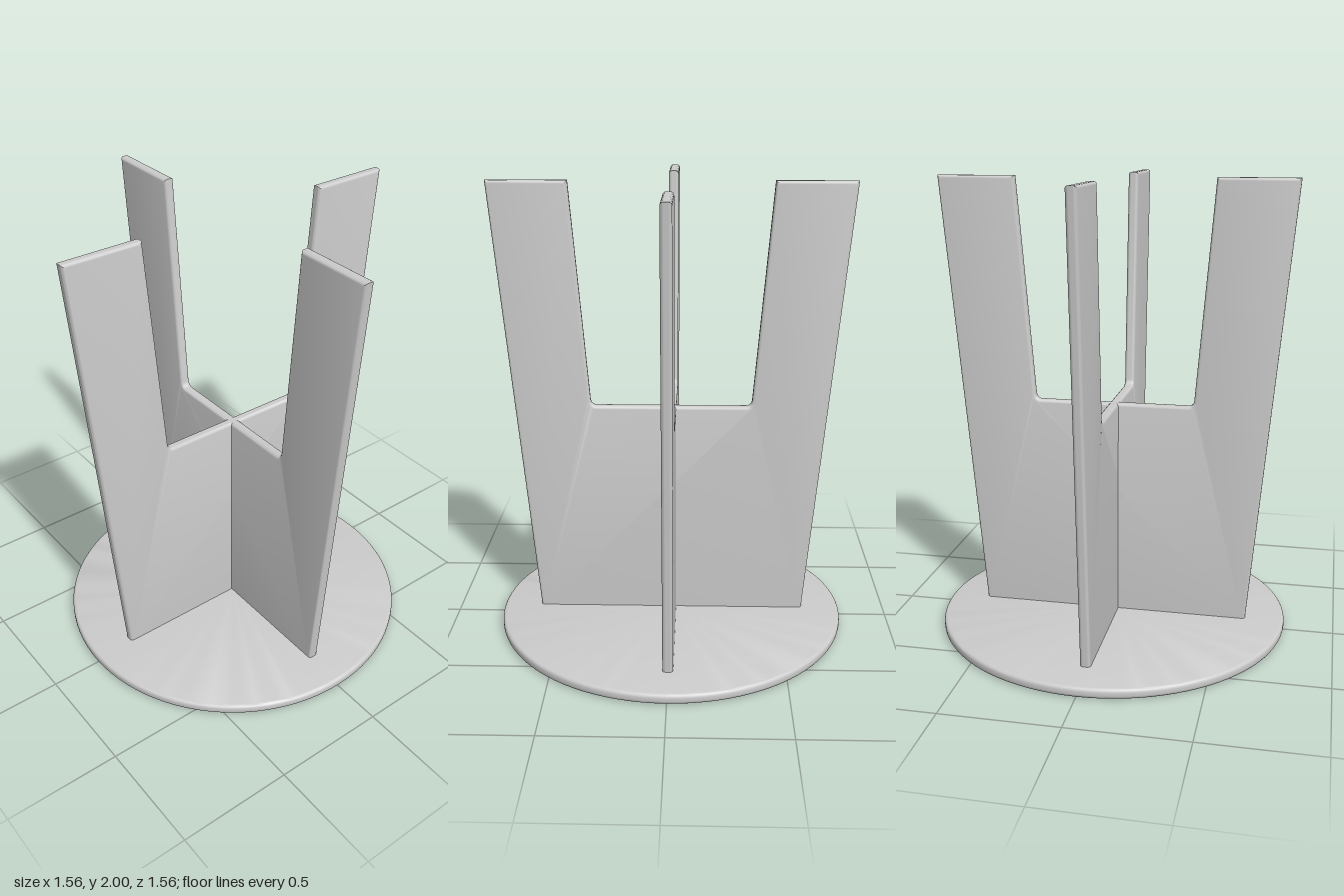
import * as THREE from 'three';
import { toCreasedNormals } from 'three/addons/utils/BufferGeometryUtils.js';

const material = new THREE.MeshStandardMaterial({ color: 0xcccccc });

function addMesh(parent, geometry, name) {
  const mesh = new THREE.Mesh(toCreasedNormals(geometry, 0.6), material);
  mesh.name = name;
  parent.add(mesh);
  return mesh;
}

// Round plate with a softened rim
function plateGeometry(radius, height) {
  const r = height * 0.35;
  const profile = [new THREE.Vector2(0, 0)];
  for (const [cy, start] of [[r, -Math.PI / 2], [height - r, 0]]) {
    for (let i = 0; i <= 4; i++) {
      const a = start + (i / 4) * (Math.PI / 2);
      profile.push(new THREE.Vector2(radius - r + r * Math.cos(a), cy + r * Math.sin(a)));
    }
  }
  profile.push(new THREE.Vector2(0, height));
  return new THREE.LatheGeometry(profile, 96);
}

// Tapered upright with a wide notch, leaving two prongs
function panelGeometry(thickness, bevel) {
  const s = new THREE.Shape();
  s.moveTo(-0.605, 0.03);
  s.lineTo(0.605, 0.03);
  s.lineTo(0.78, 2);
  s.lineTo(0.435, 2);
  s.lineTo(0.357, 1.045);
  s.quadraticCurveTo(0.353, 1.02, 0.33, 1.02);
  s.lineTo(-0.33, 1.02);
  s.quadraticCurveTo(-0.353, 1.02, -0.357, 1.045);
  s.lineTo(-0.435, 2);
  s.lineTo(-0.78, 2);
  s.closePath();
  const depth = thickness - 2 * bevel;
  const geometry = new THREE.ExtrudeGeometry(s, {
    depth,
    bevelThickness: bevel,
    bevelSize: bevel,
    bevelOffset: -bevel,
    bevelSegments: 4,
    curveSegments: 5,
  });
  return geometry.translate(0, 0, -depth / 2);
}

export function createModel() {
  const model = new THREE.Group();
  model.name = 'crossPanelStand';

  addMesh(model, plateGeometry(0.78, 0.045), 'roundPlate');

  // Two identical panels interlocked at right angles
  ['widthPanel', 'depthPanel'].forEach((name, i) => {
    const panel = addMesh(model, panelGeometry(0.045, 0.014), name);
    panel.rotation.y = (i * Math.PI) / 2;
  });

  return model;
}
